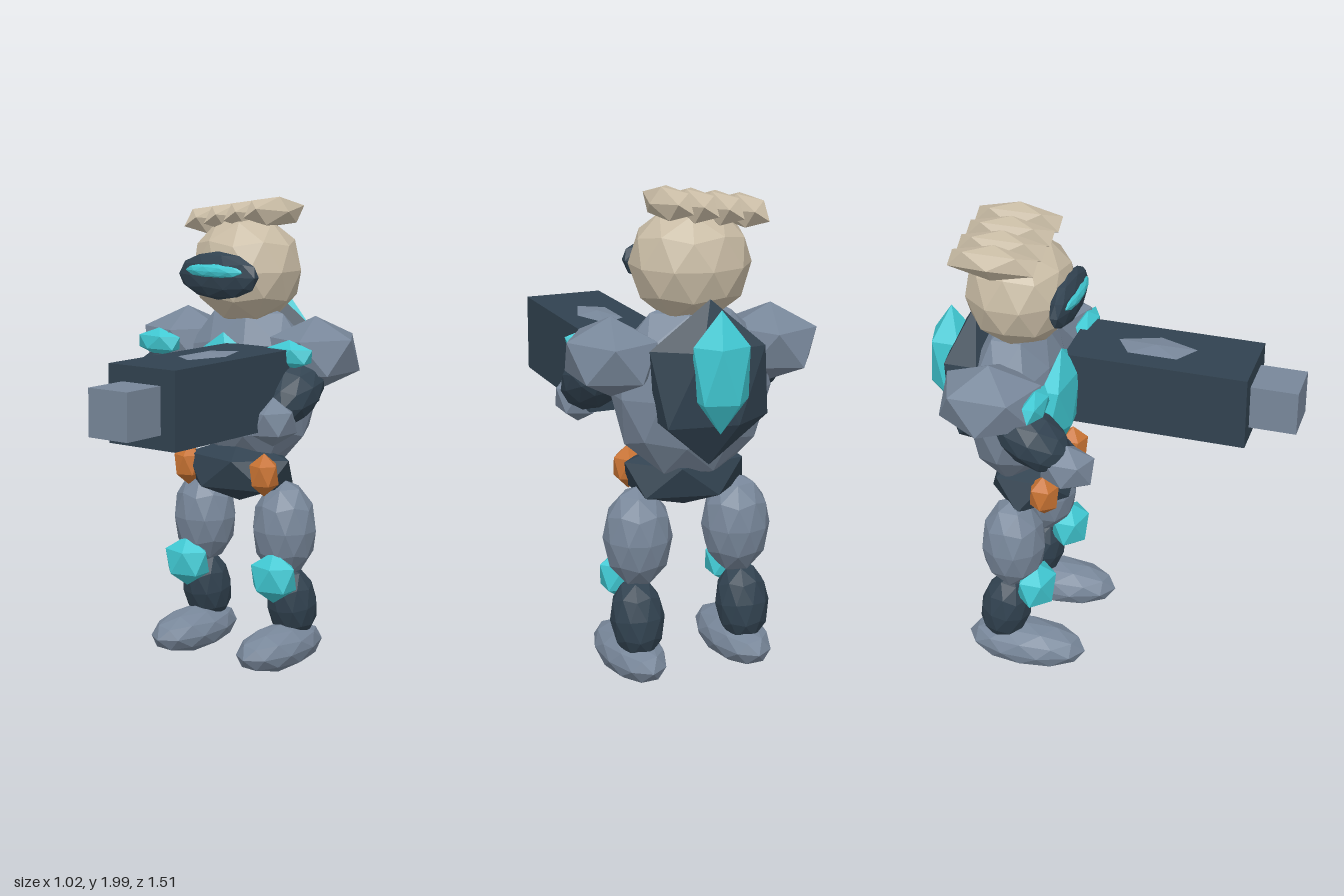
import * as THREE from 'three';

const mat = (name, color) => {
  const m = new THREE.MeshStandardMaterial({ color });
  m.name = name;
  return m;
};

export function createModel() {
  const grey = mat('armour grey', 0x78879a);
  const dark = mat('dark slate', 0x314250);
  const cyan = mat('glow cyan', 0x40c8d2);
  const beige = mat('pale beige', 0xc9bca5);
  const orange = mat('pouch orange', 0xc87333);
  const model = new THREE.Group();
  model.name = 'armouredFigure';

  const add = (name, geometry, material, pos, rot = [0, 0, 0]) => {
    const mesh = new THREE.Mesh(geometry, material);
    mesh.name = name;
    mesh.position.set(...pos);
    mesh.rotation.set(...rot);
    model.add(mesh);
    return mesh;
  };

  // Faceted ellipsoid with its poles on y: detail 0 is a gem, 1 is rounder
  const facet = (name, material, detail, pos, radii, rot) => {
    const g = new THREE.IcosahedronGeometry(1, detail);
    g.rotateX(-Math.atan2(0.8507, 0.5257)).rotateY(Math.PI / 2).scale(...radii);
    g.computeVertexNormals();
    return add(name, g, material, pos, rot);
  };

  // The same part on both sides of the body
  const pair = (name, material, detail, [x, y, z], radii, rot) => {
    facet(name + 'Left', material, detail, [x, y, z], radii, rot);
    facet(name + 'Right', material, detail, [-x, y, z], radii, rot);
  };

  // Head, visor and crest
  facet('head', beige, 1, [0, 1.695, -0.365], [0.24, 0.235, 0.225]);
  facet('visor', dark, 1, [0, 1.68, -0.165], [0.205, 0.1, 0.05]);
  facet('visorGlow', cyan, 1, [0, 1.7, -0.14], [0.15, 0.035, 0.035]);
  for (let i = 0; i < 4; i++) {
    facet('hairSpike' + (i + 1), beige, 0, [-0.2 + i * 0.103, 1.89 + i * 0.015, -0.405],
      [0.075, 0.068, 0.205], [0, 0, -0.4]);
  }

  // Torso, chest plate, backpack and belt
  facet('torso', grey, 1, [0, 1.2, -0.385], [0.33, 0.37, 0.2]);
  facet('chestPlate', cyan, 0, [0, 1.225, -0.2], [0.22, 0.218, 0.07]);
  facet('backpack', dark, 0, [0, 1.265, -0.56], [0.275, 0.325, 0.13]);
  facet('backpackCore', cyan, 0, [0, 1.33, -0.665], [0.128, 0.24, 0.107]);
  facet('belt', dark, 0, [0, 0.845, -0.32], [0.285, 0.14, 0.197]);
  pair('pouch', orange, 0, [0.2, 0.857, -0.22], [0.068, 0.092, 0.07]);

  // Arms
  pair('shoulderPad', grey, 0, [0.335, 1.36, -0.387], [0.198, 0.157, 0.23]);
  pair('forearm', dark, 1, [0.345, 1.225, -0.21], [0.122, 0.18, 0.108], [-0.98, 0, 0]);
  pair('elbowPad', cyan, 0, [0.34, 1.375, -0.195], [0.125, 0.062, 0.048]);
  pair('hand', grey, 0, [0.355, 1.12, -0.065], [0.1, 0.1, 0.122]);

  // Legs
  pair('thigh', grey, 1, [0.213, 0.605, -0.353], [0.14, 0.21, 0.137]);
  pair('kneePad', cyan, 0, [0.232, 0.415, -0.25], [0.116, 0.112, 0.09]);
  pair('shin', dark, 1, [0.23, 0.275, -0.39], [0.11, 0.17, 0.11], [0.2, 0, 0]);
  pair('foot', grey, 1, [0.23, 0.1, -0.302], [0.126, 0.095, 0.262]);

  // Cannon
  add('cannonBody', new THREE.BoxGeometry(0.325, 0.31, 0.76), dark, [0.19, 1.245, 0.18]);
  add('cannonBarrel', new THREE.BoxGeometry(0.188, 0.188, 0.22), grey, [0.19, 1.242, 0.645]);
  facet('cannonSight', grey, 0, [0.188, 1.388, 0.145], [0.1, 0.026, 0.2]);

  return model;
}
